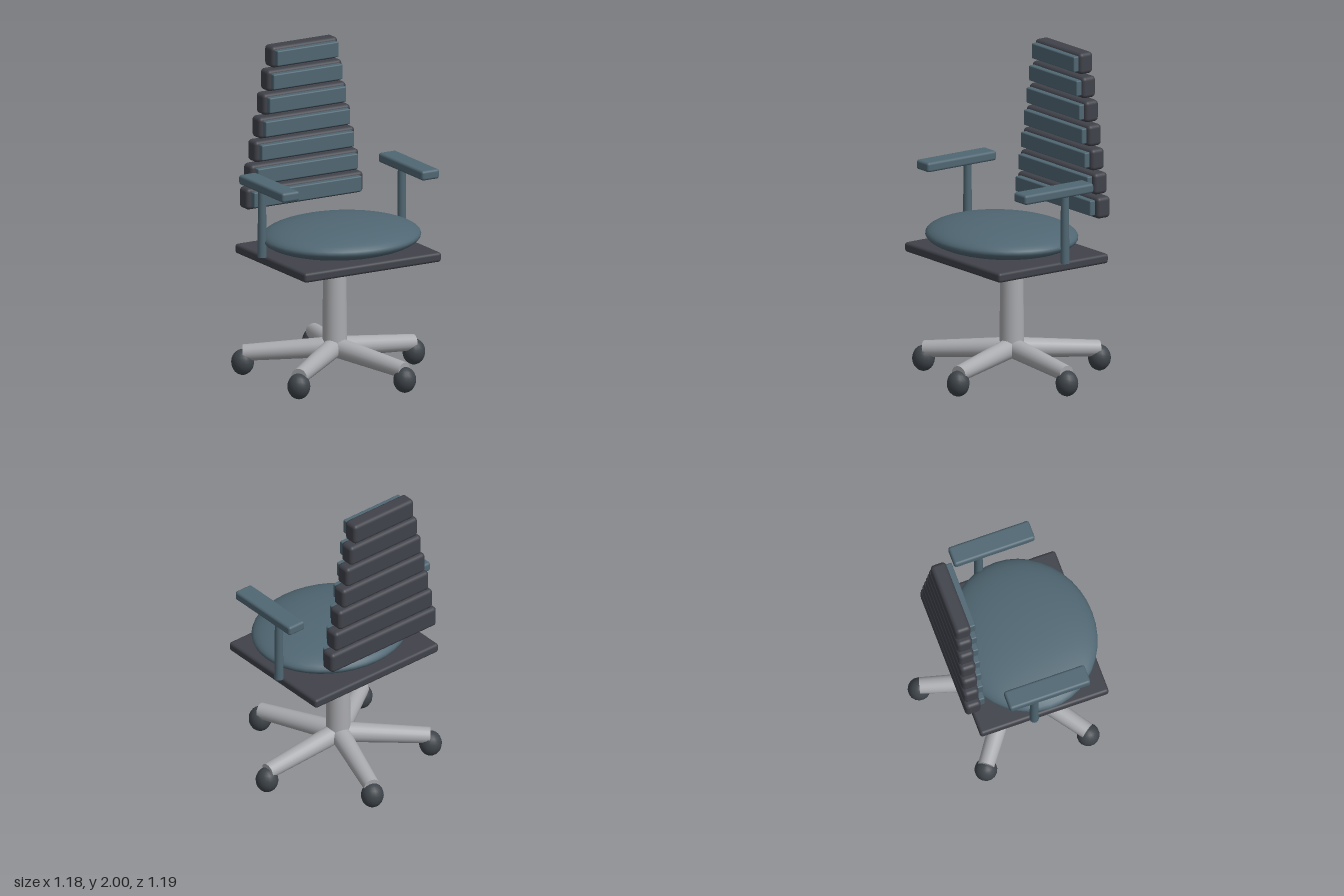
import * as THREE from 'three';
import { RoundedBoxGeometry } from 'three/addons/geometries/RoundedBoxGeometry.js';

export function createModel() {
  const chair = new THREE.Group();
  chair.name = 'officeChair';

  const mat = (name, color) => {
    const m = new THREE.MeshStandardMaterial({ color });
    m.name = name;
    return m;
  };
  const frame = mat('darkFrame', 0x40424a);
  const caster = mat('darkCaster', 0x3e444a);
  const fabric = mat('blueGreyFabric', 0x506773);
  const metal = mat('lightGreyMetal', 0xaaabaf);

  // everything is arranged around the column axis
  const body = new THREE.Group();
  body.name = 'chairBody';
  body.position.x = -0.04;
  chair.add(body);

  const add = (name, geometry, material, x, y, z, parent = body) => {
    const mesh = new THREE.Mesh(geometry, material);
    mesh.name = name;
    mesh.position.set(x, y, z);
    parent.add(mesh);
    return mesh;
  };
  const box = (w, h, d, r) => new RoundedBoxGeometry(w, h, d, 3, r);

  // column
  add('column', new THREE.CylinderGeometry(0.069, 0.075, 0.58, 24), metal, 0, 0.48, 0);

  // five-star base: tapered legs sloping down to the casters
  const hub = new THREE.Vector3(0, 0.188, 0);
  const tip = new THREE.Vector3(0.55, 0.137, 0);
  const dir = tip.clone().sub(hub);
  for (let i = 0; i < 5; i++) {
    const spoke = new THREE.Group();
    spoke.name = 'baseSpoke';
    spoke.rotation.y = (i * Math.PI * 2) / 5;
    body.add(spoke);
    const mid = hub.clone().add(tip).multiplyScalar(0.5);
    const leg = add('leg', new THREE.CylinderGeometry(0.05, 0.063, dir.length(), 20),
      metal, mid.x, mid.y, mid.z, spoke);
    leg.quaternion.setFromUnitVectors(new THREE.Vector3(0, 1, 0), dir.clone().normalize());
    const wheel = add('caster', new THREE.SphereGeometry(1, 16, 12), caster, 0.555, 0.079, 0, spoke);
    wheel.scale.set(0.069, 0.079, 0.069);
  }

  // seat plate and domed cushion
  add('seatPlate', box(0.96, 0.06, 0.82, 0.018), frame, 0, 0.78, 0.04);
  const cushion = add('seatCushion', new THREE.SphereGeometry(1, 40, 24), fabric, 0, 0.897, 0.075);
  cushion.scale.set(0.495, 0.1, 0.44);

  // armrests
  for (const side of [-1, 1]) {
    add('armPost', new THREE.CylinderGeometry(0.024, 0.028, 0.43, 16), fabric, side * 0.49, 1.02, -0.033);
    add('armPad', box(0.123, 0.06, 0.515, 0.016), fabric, side * 0.49, 1.255, 0.05);
  }

  // backrest: seven slats narrowing upwards, each with a front pad
  for (let i = 0; i < 7; i++) {
    const w = 0.82 - i * 0.059;
    const y = 1.076 + i * 0.143;
    add('backSlat', box(w, 0.132, 0.098, 0.024), frame, 0, y, -0.389);
    add('backPad', box(w * 0.922, 0.095, 0.05, 0.008), fabric, 0, y, -0.331);
  }

  return chair;
}
